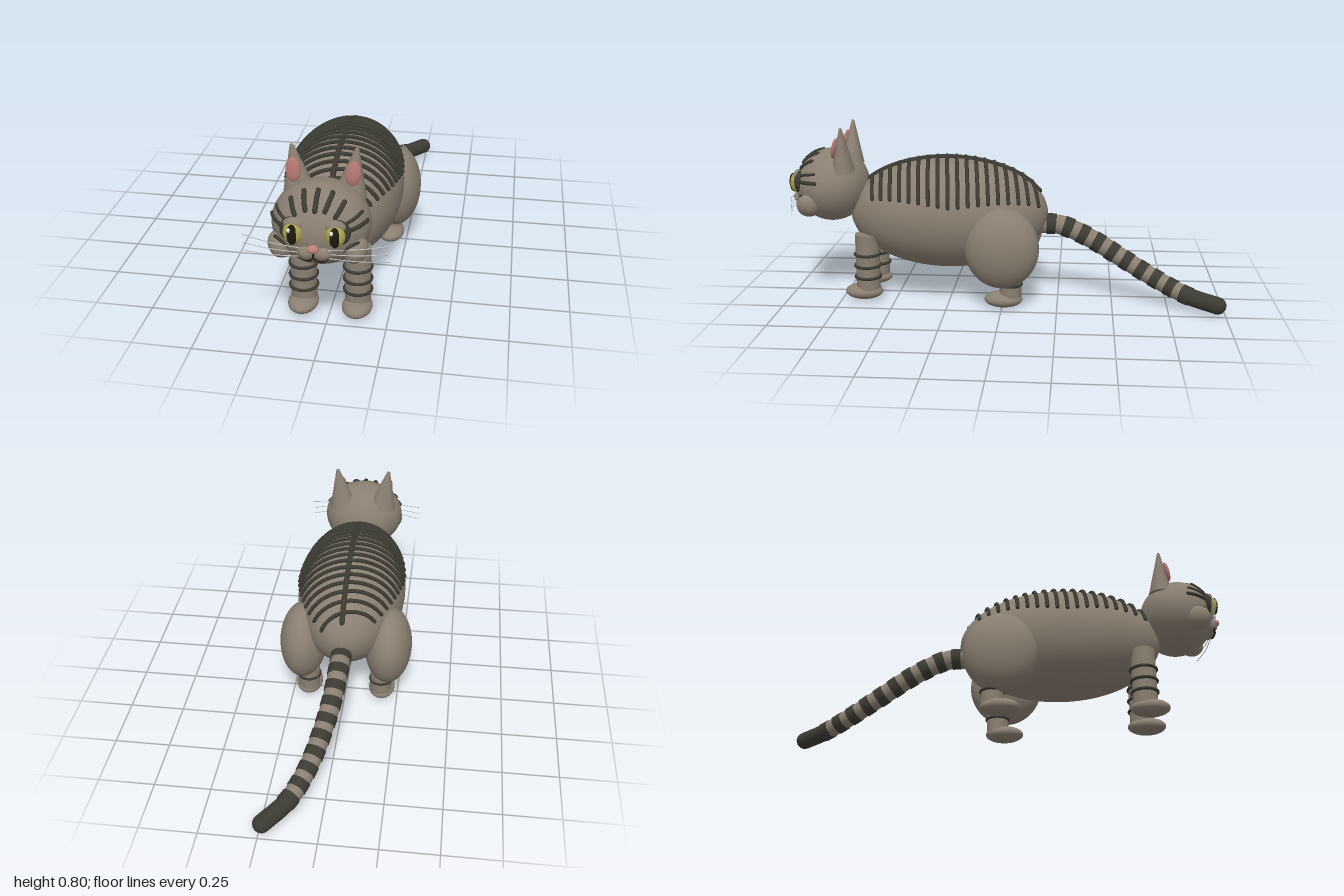
import * as THREE from 'three';

const mat = (name, color, side = THREE.FrontSide) => {
  const m = new THREE.MeshStandardMaterial({ color, side });
  m.name = name;
  return m;
};

export function createModel() {
  const root = new THREE.Group();
  root.name = 'cat';
  const fur = mat('fur', 0x8a7f71, THREE.DoubleSide);
  const dark = mat('dark stripe', 0x3b3b33, THREE.DoubleSide);
  const yellow = mat('eye yellow', 0xada54e);
  const black = mat('pupil', 0x1c1a0c);
  const white = mat('highlight', 0xf4f4f0);
  const earPink = mat('ear pink', 0xb07570);
  const nosePink = mat('nose pink', 0xbb7f78);
  const mouthMat = mat('mouth', 0x2a2018);
  const whiskerMat = mat('whisker', 0xc4c4c4);

  const V = (x, y, z) => new THREE.Vector3(x, y, z);
  const add = (name, geo, material) => {
    const m = new THREE.Mesh(geo, material);
    m.name = name;
    root.add(m);
    return m;
  };
  const ball = (name, material, p, r, seg = 32) => {
    const m = add(name, new THREE.SphereGeometry(1, seg, Math.round(seg * 0.75)), material);
    m.position.set(...p);
    m.scale.set(...r);
    return m;
  };
  const tube = (name, material, pts, r, n = 12, caps = true) => {
    const m = add(name, new THREE.TubeGeometry(new THREE.CatmullRomCurve3(pts), n, r, 8), material);
    if (caps) for (const p of [pts[0], pts[pts.length - 1]]) ball(name + 'End', material, p.toArray(), [r, r, r], 8);
    return m;
  };

  // Torso
  const B = { y: 0.4, z: 0.26, r: 0.256, rz: 0.46 };
  ball('body', fur, [0, B.y, B.z], [B.r, B.r, B.rz], 48);
  const onBody = (a, z, lift) => {
    const r = B.r * Math.sqrt(Math.max(0, 1 - ((z - B.z) / B.rz) ** 2)) + lift;
    return V(r * Math.sin(a), B.y + r * Math.cos(a), z);
  };

  // Slanted ribs of dark fur across the back, and one along the spine
  const ribs = 18;
  for (let i = 0; i < ribs; i++) {
    const z0 = -0.13 + (0.75 * i) / (ribs - 1);
    const reach = 1.28 - 0.25 * Math.abs((z0 - B.z) / 0.4);
    const pts = [];
    for (let k = 0; k <= 12; k++) {
      const a = reach * (k / 6 - 1);
      pts.push(onBody(a, z0 - 0.035 * Math.sin(a), 0.005));
    }
    tube('backStripe', dark, pts, 0.009, 28);
  }
  const spine = [];
  for (let k = 0; k <= 14; k++) spine.push(onBody(0, -0.16 + (0.79 * k) / 14, 0.003));
  tube('spineStripe', dark, spine, 0.012, 36);

  // Head
  const H = { y: 0.523, z: 0.803, rx: 0.195, ry: 0.168, rz: 0.168 };
  ball('head', fur, [0, H.y, H.z], [H.rx, H.ry, H.rz], 48);
  const onHead = (x, y) =>
    V(x, y, H.z + H.rz * Math.sqrt(Math.max(0, 1 - (x / H.rx) ** 2 - ((y - H.y) / H.ry) ** 2)));
  const headStripe = (name, a, b, r) => {
    const pts = [];
    for (let k = 0; k <= 5; k++)
      pts.push(onHead(a[0] + ((b[0] - a[0]) * k) / 5, a[1] + ((b[1] - a[1]) * k) / 5));
    tube(name, dark, pts, r);
  };
  headStripe('foreheadStripe', [0, 0.63], [0, 0.682], 0.01);

  // Muzzle centre
  ball('nose', nosePink, [0, 0.497, 0.982], [0.023, 0.016, 0.018]);
  ball('chin', fur, [0, 0.447, 0.935], [0.032, 0.022, 0.035]);
  tube('mouthLine', mouthMat, [V(0, 0.485, 0.978), V(0, 0.47, 0.979), V(0, 0.457, 0.976)], 0.004);

  for (const s of [-1, 1]) {
    // Forehead and temple stripes
    headStripe('foreheadStripe', [s * 0.037, 0.63], [s * 0.055, 0.675], 0.01);
    headStripe('foreheadStripe', [s * 0.077, 0.61], [s * 0.102, 0.648], 0.01);
    headStripe('templeStripe', [s * 0.125, 0.556], [s * 0.184, 0.562], 0.009);
    headStripe('templeStripe', [s * 0.12, 0.585], [s * 0.165, 0.6], 0.007);

    // Muzzle, cheeks and mouth
    ball('muzzle', fur, [s * 0.031, 0.468, 0.938], [0.041, 0.036, 0.046]);
    const cheek = ball('cheek', fur, [s * 0.147, 0.453, 0.885], [0.046, 0.056, 0.055]);
    cheek.rotation.z = s * -0.5;
    tube('cheekStripe', dark, [V(s * 0.105, 0.468, 0.925), V(s * 0.125, 0.485, 0.927), V(s * 0.16, 0.5, 0.912)], 0.007);
    tube('mouthCurve', mouthMat, [V(0, 0.457, 0.976), V(s * 0.014, 0.442, 0.974),
      V(s * 0.033, 0.438, 0.967), V(s * 0.053, 0.447, 0.965)], 0.004);

    // Eyes
    ball('eyeRim', dark, [s * 0.089, 0.55, 0.935], [0.047, 0.052, 0.026]);
    ball('eyelid', fur, [s * 0.078, 0.578, 0.944], [0.042, 0.027, 0.023]);
    ball('iris', yellow, [s * 0.081, 0.546, 0.953], [0.038, 0.047, 0.03]);
    ball('pupil', black, [s * 0.081, 0.546, 0.971], [0.021, 0.042, 0.0155]);
    ball('eyeHighlight', white, [s * 0.081 - 0.01, 0.568, 0.981], [0.007, 0.01, 0.006], 16);

    // Ears
    const ear = add('ear', new THREE.CylinderGeometry(0.007, 0.066, 0.2, 32), fur);
    ear.position.set(s * 0.114, 0.706, 0.73);
    ear.rotation.z = s * -0.14;
    ear.scale.z = 0.8;
    const inner = ball('innerEar', earPink, [s * 0.117, 0.712, 0.762], [0.03, 0.048, 0.014]);
    inner.rotation.set(-0.2, 0, s * -0.1);

    // Whiskers
    for (const [y0, y1] of [[0.488, 0.503], [0.469, 0.468], [0.452, 0.434]])
      tube('whisker', whiskerMat, [V(s * 0.055, y0, 0.965), V(s * 0.17, (y0 + y1) / 2, 0.955), V(s * 0.285, y1, 0.925)], 0.0018, 10, false);

    // Front legs with rings and paws
    const leg = add('frontLeg', new THREE.CylinderGeometry(0.055, 0.055, 0.275, 32), fur);
    leg.position.set(s * 0.115, 0.178, 0.628);
    ball('frontPaw', fur, [s * 0.115, 0.04, 0.648], [0.064, 0.036, 0.087]);
    const ring = (x, y, z, r) => {
      const t = add('legRing', new THREE.TorusGeometry(r, 0.007, 10, 32), dark);
      t.position.set(x, y, z);
      t.rotation.x = Math.PI / 2;
    };
    for (const y of [0.113, 0.166, 0.221]) ring(s * 0.115, y, 0.628, 0.057);

    // Haunches, hind legs and paws
    ball('haunch', fur, [s * 0.2, 0.285, 0], [0.11, 0.185, 0.168], 40);
    const hind = add('hindLeg', new THREE.CylinderGeometry(0.05, 0.05, 0.12, 32), fur);
    hind.position.set(s * 0.172, 0.095, -0.038);
    ring(s * 0.172, 0.11, -0.038, 0.05);
    ball('hindPaw', fur, [s * 0.175, 0.038, -0.006], [0.062, 0.036, 0.087]);
  }

  // Banded tail, built segment by segment along one curve
  const path = new THREE.CatmullRomCurve3([V(0, 0.35, -0.16), V(0, 0.345, -0.26), V(0.012, 0.28, -0.41),
    V(0.04, 0.2, -0.55), V(0.085, 0.12, -0.7), V(0.15, 0.065, -0.84), V(0.235, 0.052, -0.962)]);
  const tailPart = (t0, t1, r, material, name) => {
    const pts = [];
    for (let k = 0; k <= 4; k++) pts.push(path.getPointAt(t0 + ((t1 - t0) * k) / 4));
    add(name, new THREE.TubeGeometry(new THREE.CatmullRomCurve3(pts), 6, r, 24), material);
  };
  const bands = 10, step = 0.85 / bands;
  for (let i = 0; i < bands; i++) {
    const t = i * step, r = 0.045 - 0.007 * t;
    tailPart(t, t + step * 0.46, r, fur, 'tailFur');
    tailPart(t + step * 0.44, t + step, r + 0.003, dark, 'tailBand');
  }
  tailPart(0.85, 1, 0.039, dark, 'tailTip');
  ball('tailEnd', dark, path.getPointAt(1).toArray(), [0.039, 0.039, 0.039], 24);

  return root;
}
